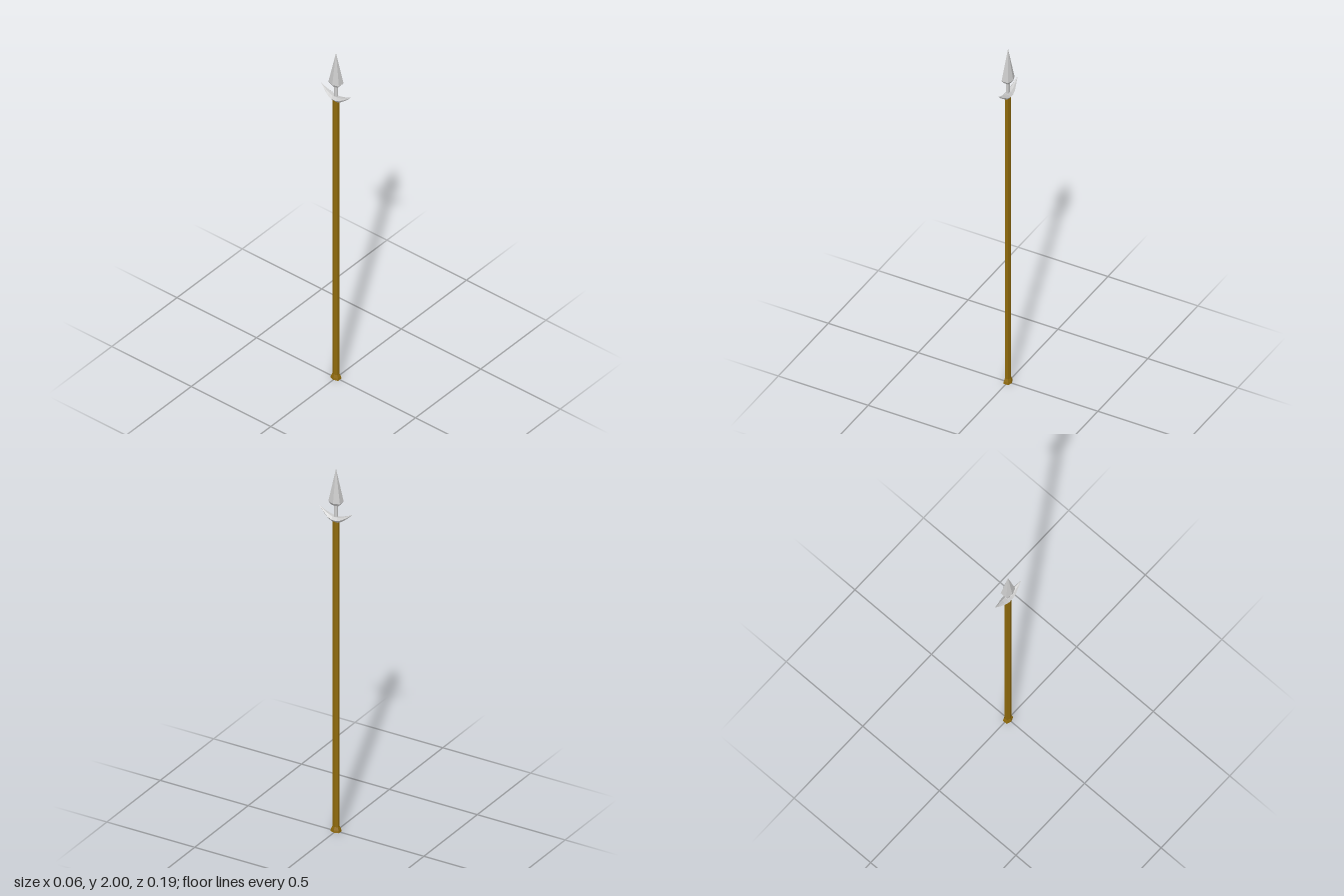
import * as THREE from 'three';

// Skins a row of rings (each a list of [x, y, z]) and closes both ends
function loft(name, rings, color) {
  const n = rings[0].length;
  const index = [];
  for (let r = 0; r < rings.length - 1; r++) {
    for (let i = 0; i < n; i++) {
      const a = r * n + i, b = r * n + (i + 1) % n;
      index.push(a, b, b + n, a, b + n, a + n);
    }
  }
  const last = (rings.length - 1) * n;
  for (let i = 1; i < n - 1; i++) {
    index.push(0, i + 1, i, last, last + i, last + i + 1);
  }
  const geometry = new THREE.BufferGeometry();
  geometry.setAttribute('position', new THREE.Float32BufferAttribute(rings.flat(2), 3));
  geometry.setIndex(index);
  geometry.computeVertexNormals();
  const mesh = new THREE.Mesh(geometry, new THREE.MeshStandardMaterial({ color, flatShading: true }));
  mesh.name = name;
  return mesh;
}

// Six-sided cross-section, slightly deeper than wide, with corners on the x axis
const HEX = [[1, 0], [0.62, -1.14], [-0.62, -1.14], [-1, 0], [-0.62, 1.14], [0.62, 1.14]];
const hexRings = (profile) => profile.map(([r, y]) => HEX.map(([x, z]) => [x * r, y, z * r]));

export function createModel() {
  const steel = 0xcccccc, wood = 0x8f6a0c;
  const group = new THREE.Group();
  group.name = 'spear';

  // Shaft with flared foot
  group.add(loft('shaft', hexRings([[0.021, 0], [0.019, 0.012], [0.014, 0.028], [0.014, 1.715]]), wood));

  // Neck between guard and blade
  group.add(loft('neck', hexRings([[0.008, 1.72], [0.008, 1.81]]), steel));

  // Pointed blade with bevelled base
  group.add(loft('blade', hexRings([[0.018, 1.803], [0.029, 1.82], [0.0002, 2]]), steel));

  // Crescent guard: [z, bottom y, top y, half width]
  const half = [[0.094, 1.771, 1.772, 0.0005], [0.066, 1.743, 1.756, 0.009],
    [0.036, 1.720, 1.743, 0.018], [0.014, 1.711, 1.737, 0.021]];
  const stations = [...half.map(([z, ...rest]) => [-z, ...rest]), ...half.slice().reverse()];
  const guardRings = stations.map(([z, lo, hi, w]) => {
    const mid = (lo + hi) / 2;
    return [[w, mid, z], [w * 0.45, hi, z], [-w * 0.45, hi, z],
      [-w, mid, z], [-w * 0.55, lo, z], [w * 0.55, lo, z]];
  });
  group.add(loft('crescentGuard', guardRings, steel));

  return group;
}
